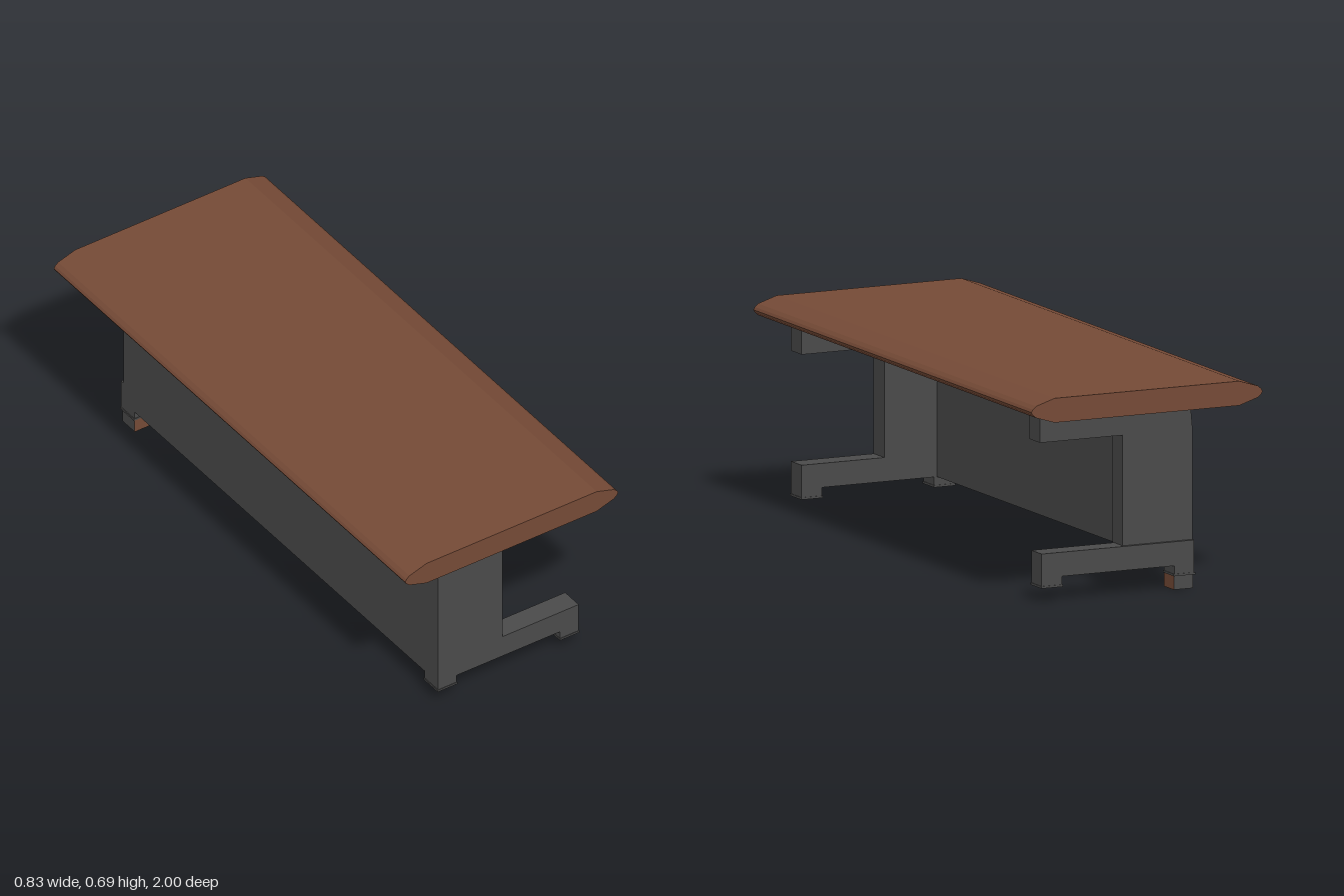
import * as THREE from 'three';

const wood = new THREE.MeshStandardMaterial({ color: 0x754a36 });
wood.name = 'brown wood';
const metal = new THREE.MeshStandardMaterial({ color: 0x4a4a4a });
metal.name = 'dark grey metal';

// Extrudes an x-y outline from z0 to z1
function slab(name, points, z0, z1, material) {
  const shape = new THREE.Shape(points.map(([x, y]) => new THREE.Vector2(x, y)));
  const geometry = new THREE.ExtrudeGeometry(shape, { depth: z1 - z0, bevelEnabled: false });
  geometry.translate(0, 0, z0);
  const mesh = new THREE.Mesh(geometry, material);
  mesh.name = name;
  return mesh;
}

function box(name, x0, x1, y0, y1, z0, z1, material) {
  const mesh = new THREE.Mesh(new THREE.BoxGeometry(x1 - x0, y1 - y0, z1 - z0), material);
  mesh.position.set((x0 + x1) / 2, (y0 + y1) / 2, (z0 + z1) / 2);
  mesh.name = name;
  return mesh;
}

// C-shaped end leg: column, top arm and foot, with two pads below
function makeLeg(name, z0, z1, footShift) {
  const leg = new THREE.Group();
  leg.name = name;
  leg.add(slab('columnAndArm', [
    [-0.217, 0.08], [0.035, 0.08], [0.035, 0.522], [0.333, 0.522],
    [0.333, 0.607], [-0.209, 0.607], [-0.217, 0.522],
  ], z0, z1, metal));
  const f0 = z0 + footShift, f1 = z1 + footShift;
  leg.add(slab('foot', [
    [-0.217, 0.047], [-0.145, 0.047], [-0.145, 0.08], [0.26, 0.08],
    [0.26, 0.047], [0.333, 0.047], [0.333, 0.159], [-0.217, 0.159],
  ], f0, f1, metal));
  for (const x of [-0.22, 0.258]) {
    leg.add(box('footPad', x, x + 0.077, 0.046, 0.053, f0 - 0.002, f1 + 0.002, metal));
  }
  return leg;
}

export function createModel() {
  const model = new THREE.Group();
  model.name = 'desk';

  // Top with bevelled long edges
  model.add(slab('tableTop', [
    [-0.333, 0.606], [0.333, 0.606], [0.4, 0.627], [0.412, 0.637], [0.417, 0.646],
    [0.412, 0.655], [0.4, 0.665], [0.333, 0.686], [-0.333, 0.686], [-0.4, 0.665],
    [-0.412, 0.655], [-0.417, 0.646], [-0.412, 0.637], [-0.4, 0.627],
  ], -1, 1, wood));

  model.add(makeLeg('frontLeg', 0.82, 0.897, 0));
  model.add(makeLeg('backLeg', -0.895, -0.82, -0.012));

  // Panel joining both legs, flush with their outer side
  model.add(slab('modestyPanel', [
    [-0.217, 0.08], [-0.155, 0.08], [-0.155, 0.607], [-0.209, 0.607], [-0.217, 0.522],
  ], -0.82, 0.82, metal));

  // Block under the back leg, brown on its two inner sides (+x and +z)
  model.add(box('footBlock', -0.217, -0.147, 0, 0.047, -0.9, -0.83,
    [wood, metal, metal, metal, wood, metal]));

  return model;
}
